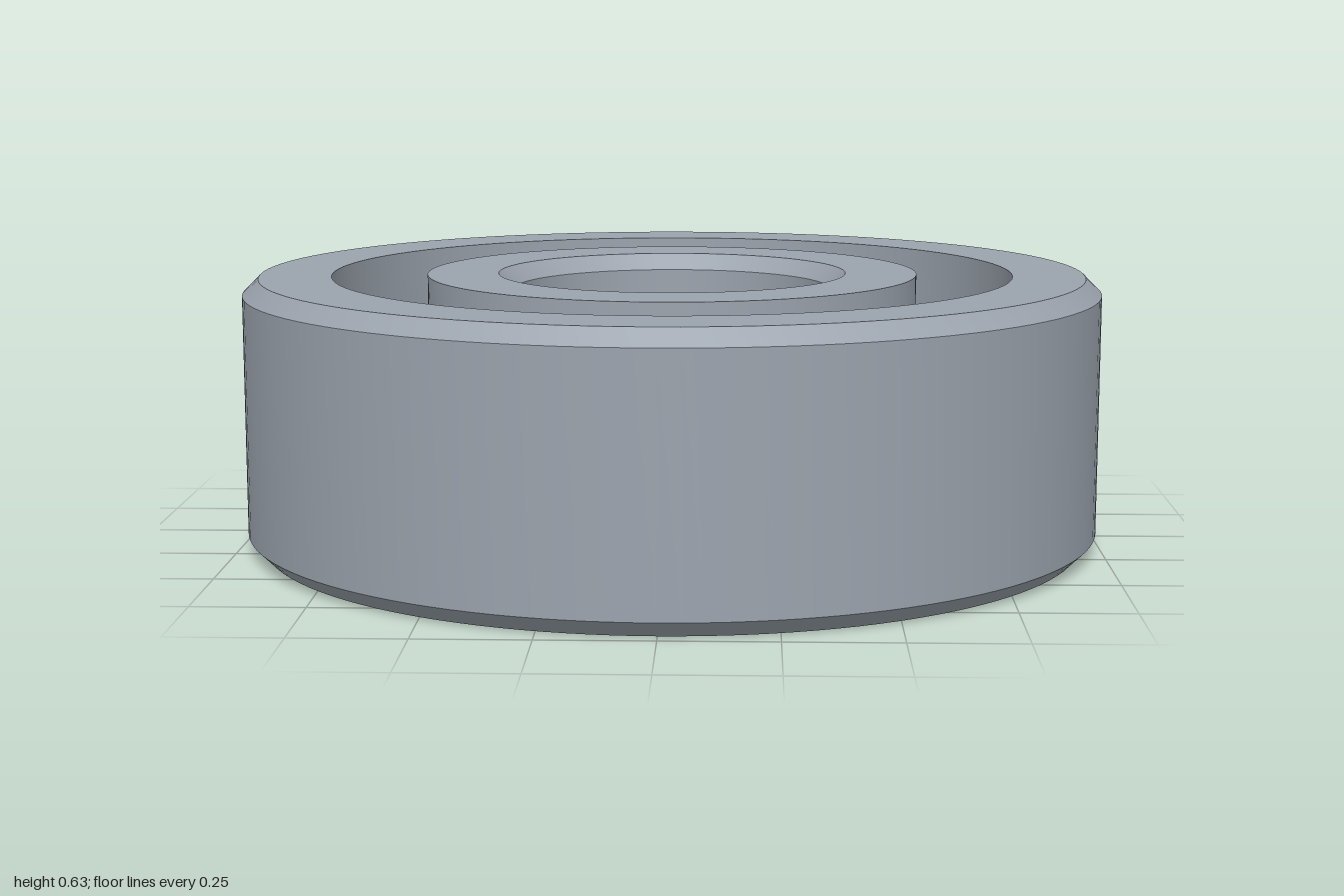
import * as THREE from 'three';
import { toCreasedNormals } from 'three/addons/utils/BufferGeometryUtils.js';

const HEIGHT = 0.63, MID = HEIGHT / 2;
const OUTER_R = 1, OUTER_BORE = 0.795;
const INNER_R = 0.573, INNER_BORE = 0.37;
const CHAMFER = 0.037;
const PITCH_R = 0.684, BALL_R = 0.174, BALLS = 8, FIRST_ANGLE = 0.205;

// Arc of the ball groove between two angles, in (radius, height)
function grooveArc(from, to, steps = 14) {
  return Array.from({ length: steps + 1 }, (_, i) => {
    const a = from + (to - from) * i / steps;
    return [PITCH_R + BALL_R * Math.cos(a), MID + BALL_R * Math.sin(a)];
  });
}

// Closed ring turned from a counter-clockwise profile, with sharp edges kept
function ring(name, profile, material) {
  const points = [...profile, profile[0]].map(([r, y]) => new THREE.Vector2(r, y));
  const geometry = toCreasedNormals(new THREE.LatheGeometry(points, 128), 0.5);
  const mesh = new THREE.Mesh(geometry, material);
  mesh.name = name;
  return mesh;
}

export function createModel() {
  const model = new THREE.Group();
  model.name = 'ballBearing';
  const steel = new THREE.MeshStandardMaterial({ color: 0x9ba3ad });
  steel.name = 'steel';

  // Outer race: chamfered outside, groove on the inside
  const outerEdge = Math.acos((OUTER_BORE - PITCH_R) / BALL_R);
  model.add(ring('outerRace', [
    [OUTER_R - CHAMFER, 0], [OUTER_R, CHAMFER],
    [OUTER_R, HEIGHT - CHAMFER], [OUTER_R - CHAMFER, HEIGHT],
    [OUTER_BORE, HEIGHT], ...grooveArc(outerEdge, -outerEdge), [OUTER_BORE, 0],
  ], steel));

  // Inner race: groove on the outside, chamfered bore
  const innerEdge = Math.acos((INNER_R - PITCH_R) / BALL_R);
  model.add(ring('innerRace', [
    [INNER_R, 0], ...grooveArc(2 * Math.PI - innerEdge, innerEdge), [INNER_R, HEIGHT],
    [INNER_BORE + CHAMFER, HEIGHT], [INNER_BORE, HEIGHT - CHAMFER],
    [INNER_BORE, CHAMFER], [INNER_BORE + CHAMFER, 0],
  ], steel));

  // Balls evenly spaced around the groove
  const ballGeometry = new THREE.SphereGeometry(BALL_R, 48, 32);
  const balls = new THREE.Group();
  balls.name = 'balls';
  for (let i = 0; i < BALLS; i++) {
    const a = FIRST_ANGLE + i * 2 * Math.PI / BALLS;
    const ball = new THREE.Mesh(ballGeometry, steel);
    ball.name = 'ball';
    ball.position.set(PITCH_R * Math.cos(a), MID, PITCH_R * Math.sin(a));
    balls.add(ball);
  }
  model.add(balls);
  return model;
}
